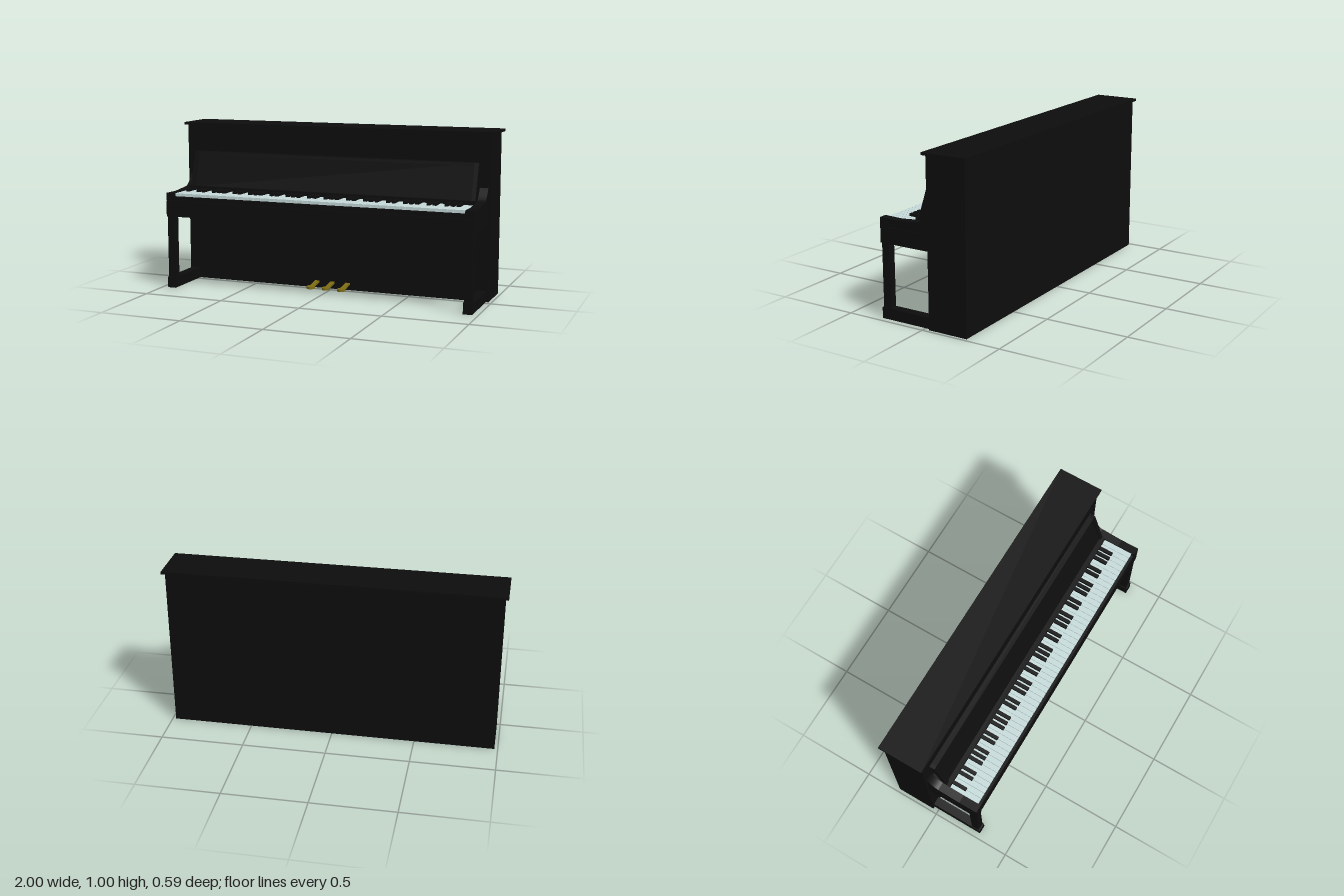
import * as THREE from 'three';

const material = (name, color, extra = {}) =>
  Object.assign(new THREE.MeshStandardMaterial({ color, ...extra }), { name });

export function createModel() {
  const black = material('black lacquer', 0x0d0d0d);
  const ivory = material('ivory', 0xc6dbda);
  const brass = material('brass', 0x7d6c14);
  const piano = new THREE.Group();
  piano.name = 'uprightPiano';

  const add = (name, geometry, mat, parent = piano) => {
    const mesh = new THREE.Mesh(geometry, mat);
    mesh.name = name;
    parent.add(mesh);
    return mesh;
  };
  // Box given by its limits on each axis
  const box = (name, [x0, x1], [y0, y1], [z0, z1], mat = black, parent = piano) => {
    const g = new THREE.BoxGeometry(x1 - x0, y1 - y0, z1 - z0);
    g.translate((x0 + x1) / 2, (y0 + y1) / 2, (z0 + z1) / 2);
    return add(name, g, mat, parent);
  };
  // Side profile drawn in (z, y), extruded across x
  const slab = (name, shape, x0, x1, mat = black, parent = piano) => {
    const g = new THREE.ExtrudeGeometry(shape, { depth: x1 - x0, bevelEnabled: false, curveSegments: 10 });
    g.rotateY(-Math.PI / 2);
    g.translate(x1, 0, 0);
    return add(name, g, mat, parent);
  };
  const polygon = (points) => new THREE.Shape(points.map(([z, y]) => new THREE.Vector2(z, y)));

  // Cabinet and lid
  box('cabinet', [-0.98, 0.98], [0, 0.985], [-0.28, -0.033]);
  box('lid', [-1, 1], [0.985, 1], [-0.295, -0.017]);

  // Cheeks with a swept top and a fine seam, legs and feet
  const cheek = new THREE.Shape();
  cheek.moveTo(-0.033, 0.445);
  cheek.lineTo(0.295, 0.445);
  cheek.lineTo(0.295, 0.541);
  cheek.lineTo(0.03, 0.541);
  cheek.lineTo(0.03, 0.543);
  cheek.lineTo(0.295, 0.543);
  cheek.lineTo(0.295, 0.591);
  cheek.lineTo(0.18, 0.588);
  cheek.lineTo(0.04, 0.6);
  cheek.bezierCurveTo(0.015, 0.605, -0.015, 0.64, -0.033, 0.675);
  cheek.closePath();
  for (const [side, s] of [['left', 1], ['right', -1]]) {
    const span = (a, b) => (s > 0 ? [a, b] : [-b, -a]);
    slab(side + 'Cheek', cheek, ...span(0.915, 0.965));
    box(side + 'Leg', span(0.916, 0.962), [0.065, 0.445], [0.24, 0.288]);
    box(side + 'Foot', span(0.912, 0.965), [0, 0.066], [-0.033, 0.297]);
  }

  // Key bed, front rail and the shelf behind the keys
  box('keyBed', [-0.915, 0.915], [0.445, 0.541], [-0.033, 0.292]);
  box('frontRail', [-0.915, 0.915], [0.543, 0.57], [0.03, 0.292]);
  box('keyShelf', [-0.915, 0.915], [0.541, 0.6], [-0.033, 0.088]);
  box('deskLedge', [-0.915, 0.915], [0.6, 0.611], [0.04, 0.088]);

  // Sloping music desk with raised frame
  slab('musicDesk', polygon([[0.036, 0.605], [0.061, 0.605], [-0.009, 0.818], [-0.033, 0.818]]), -0.89, 0.89);
  const frame = polygon([[0.036, 0.605], [0.07, 0.605], [0, 0.822], [-0.033, 0.822]]);
  slab('deskEndLeft', frame, 0.89, 0.915);
  slab('deskEndRight', frame, -0.915, -0.89);
  slab('deskTopRail', polygon([[-0.028, 0.806], [0.005, 0.806], [0, 0.822], [-0.033, 0.822]]), -0.89, 0.89);

  // Keyboard: 52 naturals from A, sharps after A, C, D, F and G
  const keyboard = new THREE.Group();
  keyboard.name = 'keyboard';
  piano.add(keyboard);
  const pitch = 1.83 / 52;
  const hasSharp = [true, false, true, true, false, true, true];
  for (let i = 0; i < 52; i++) {
    const x = -0.915 + i * pitch;
    box('whiteKey', [x + 0.0012, x + pitch - 0.0012], [0.57, 0.588], [0.088, 0.275], ivory, keyboard);
    if (hasSharp[i % 7] && i < 51) {
      box('blackKey', [x + pitch - 0.0105, x + pitch + 0.0105], [0.588, 0.603], [0.088, 0.176], black, keyboard);
    }
  }

  // Three pedals: a stem sloping out of the cabinet to a round plate
  for (const x of [-0.1, 0, 0.1]) {
    const pedal = new THREE.Group();
    pedal.name = 'pedal';
    pedal.position.x = x;
    piano.add(pedal);
    slab('pedalStem', polygon([[-0.035, 0.032], [0.065, 0.016], [0.065, 0.028], [-0.035, 0.045]]),
      -0.014, 0.014, brass, pedal);
    const plate = add('pedalPlate', new THREE.CylinderGeometry(0.025, 0.025, 0.014, 24), brass, pedal);
    plate.scale.z = 1.2;
    plate.position.set(0, 0.024, 0.075);
  }
  return piano;
}
